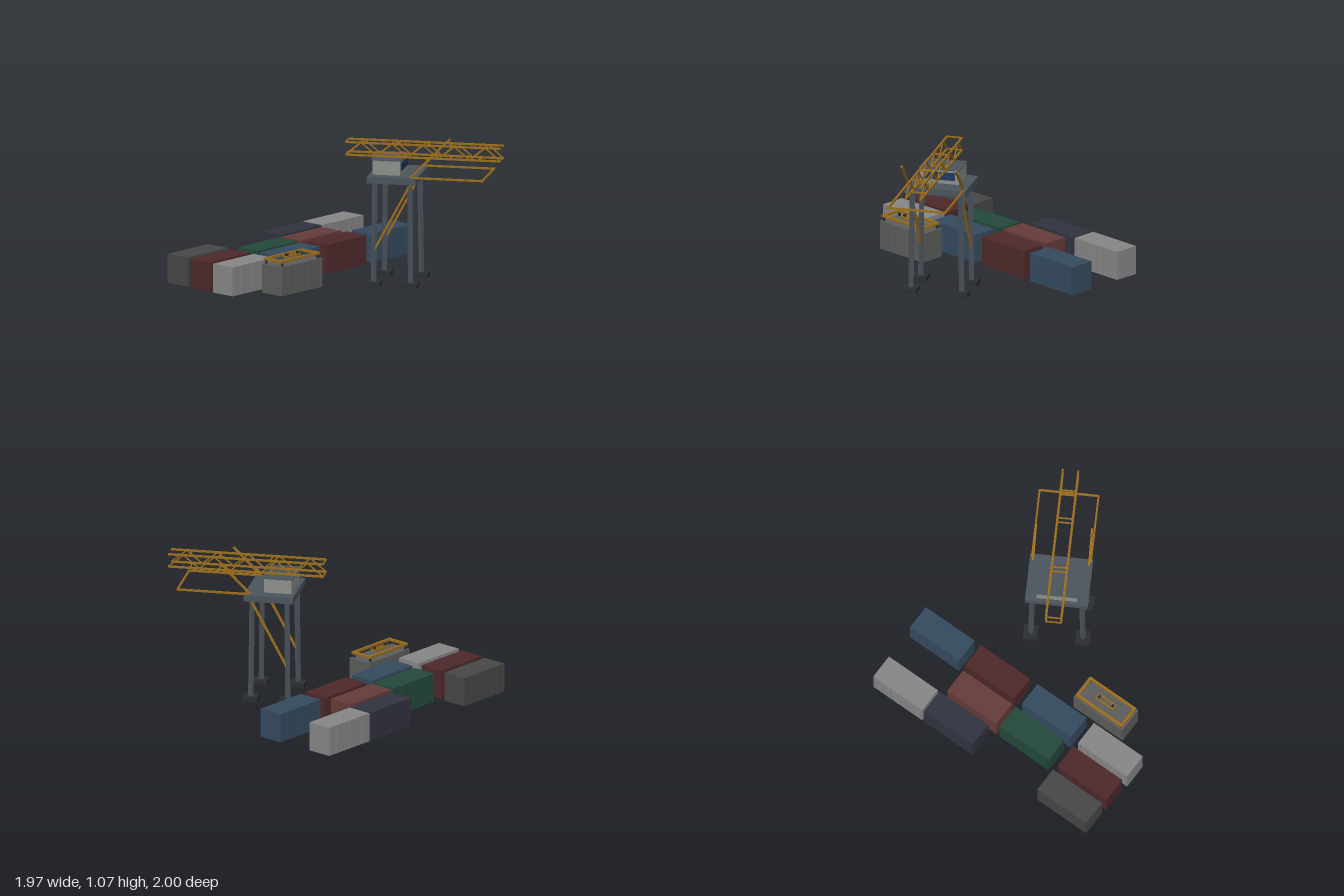
import * as THREE from 'three';

const mat = (color) => new THREE.MeshStandardMaterial({ color });
const gold = mat(0x9a6c1c), slate = mat(0x4a535b), dark = mat(0x2a2d31);
const wall = mat(0x8c8f88), glass = mat(0x1f3a5f);

function box(parent, name, size, pos, material) {
  const m = new THREE.Mesh(new THREE.BoxGeometry(...size), material);
  m.name = name;
  m.position.set(...pos);
  parent.add(m);
  return m;
}

// Square bar between two points
function bar(parent, name, a, b, t, material) {
  const p = new THREE.Vector3(...a), q = new THREE.Vector3(...b);
  const m = new THREE.Mesh(new THREE.BoxGeometry(t, t, p.distanceTo(q)), material);
  m.name = name;
  m.position.copy(p).add(q).multiplyScalar(0.5);
  m.lookAt(q);
  parent.add(m);
}

// Rectangular ring of bars lying flat
function ring(parent, name, w, l, t, h, y) {
  for (const s of [-1, 1]) {
    box(parent, name, [t, h, l], [s * (w - t) / 2, y, 0], gold);
    box(parent, name, [w - 2 * t, h, t], [0, y, s * (l - t) / 2], gold);
  }
}

// Container with vertical ribs on the long sides
function container(x, z, color) {
  const g = new THREE.Group(), m = mat(color);
  g.name = 'container';
  g.position.set(x, 0, z);
  box(g, 'containerBody', [0.196, 0.22, 0.45], [0, 0.11, 0], m);
  for (const s of [-1, 1])
    for (let i = 0; i < 7; i++)
      box(g, 'containerRib', [0.006, 0.205, 0.008], [s * 0.099, 0.11, (i - 3) * 0.07], m);
  return g;
}

// Lifting frame resting on a container
function spreader(x, z) {
  const g = new THREE.Group();
  g.name = 'spreader';
  g.position.set(x, 0, z);
  ring(g, 'spreaderFrame', 0.185, 0.425, 0.02, 0.018, 0.257);
  ring(g, 'spreaderCentre', 0.045, 0.16, 0.01, 0.014, 0.262);
  for (const s of [-1, 1]) {
    box(g, 'spreaderPulley', [0.022, 0.018, 0.016], [0, 0.276, s * 0.062], dark);
    for (const t of [-1, 1])
      box(g, 'spreaderLock', [0.015, 0.03, 0.015], [s * 0.08, 0.235, t * 0.198], dark);
  }
  return g;
}

function crane() {
  const g = new THREE.Group();
  g.name = 'crane';
  const U = 0.14, V = 0.195;

  // Feet, legs and leg braces
  for (const v of [-V, V]) {
    for (const u of [-U, U]) {
      box(g, 'foot', [0.11, 0.035, 0.11], [u, 0.0225, v], dark);
      bar(g, 'leg', [u, 0.03, v], [u * 0.94, 0.8, v * 0.95], 0.029, slate);
    }
    bar(g, 'legBrace', [-U, 0.27, v], [U, 0.79, v], 0.016, gold);
  }

  // Platform, machine house and window
  box(g, 'platform', [0.375, 0.05, 0.47], [0, 0.815, 0], slate);
  box(g, 'machineHouse', [0.21, 0.11, 0.3], [-0.054, 0.895, 0], wall);
  box(g, 'houseRoof', [0.23, 0.008, 0.31], [-0.054, 0.952, 0], slate);
  box(g, 'window', [0.008, 0.06, 0.24], [0.053, 0.9, 0], glass);

  // Twin boom trusses
  const u0 = -0.38, u1 = 0.795, lo = 0.962, hi = 1.058, n = 10;
  for (const v of [-0.0575, 0.0575]) {
    for (const y of [lo, hi]) bar(g, 'boomChord', [u0, y, v], [u1, y, v], 0.014, gold);
    for (let i = 0; i < n; i++) {
      const a = u0 + (u1 - u0) * i / n, b = u0 + (u1 - u0) * (i + 1) / n;
      bar(g, 'boomLattice', [a, i % 2 ? hi : lo, v], [b, i % 2 ? lo : hi, v], 0.009, gold);
    }
  }
  for (const u of [u0, 0.02, 0.41, 0.63])
    for (const y of [lo, hi])
      bar(g, 'boomCrossbar', [u, y, -0.0575], [u, y, 0.0575], 0.01, gold);

  // Outrigger frame and stays
  for (const v of [-0.22, 0.22]) {
    bar(g, 'outriggerRail', [0.16, 0.843, v], [0.69, 0.843, v], 0.014, gold);
    bar(g, 'stay', [U, 0.84, v * 0.95], [0.355, 1.055, v * 0.95], 0.015, gold);
  }
  bar(g, 'outriggerEnd', [0.69, 0.843, -0.227], [0.69, 0.843, 0.227], 0.014, gold);

  g.position.set(0.265, 0, -0.195);
  g.rotation.y = Math.PI / 6;
  return g;
}

export function createModel() {
  const model = new THREE.Group();
  model.name = 'containerYard';
  const stacks = [
    [-0.885, -0.765, 0x858585], [-0.885, -0.3, 0x30323f], [-0.885, 0.745, 0x464646],
    [-0.648, -0.255, 0x643b39], [-0.648, 0.225, 0x23483a], [-0.648, 0.757, 0x4d282a],
    [-0.408, -0.775, 0x34495e], [-0.408, -0.268, 0x4d282a], [-0.408, 0.253, 0x34495e],
    [-0.408, 0.772, 0x858585], [-0.135, 0.53, 0x5a5c5a],
  ];
  for (const [x, z, c] of stacks) model.add(container(x, z, c));
  model.add(spreader(-0.135, 0.532), crane());
  return model;
}
